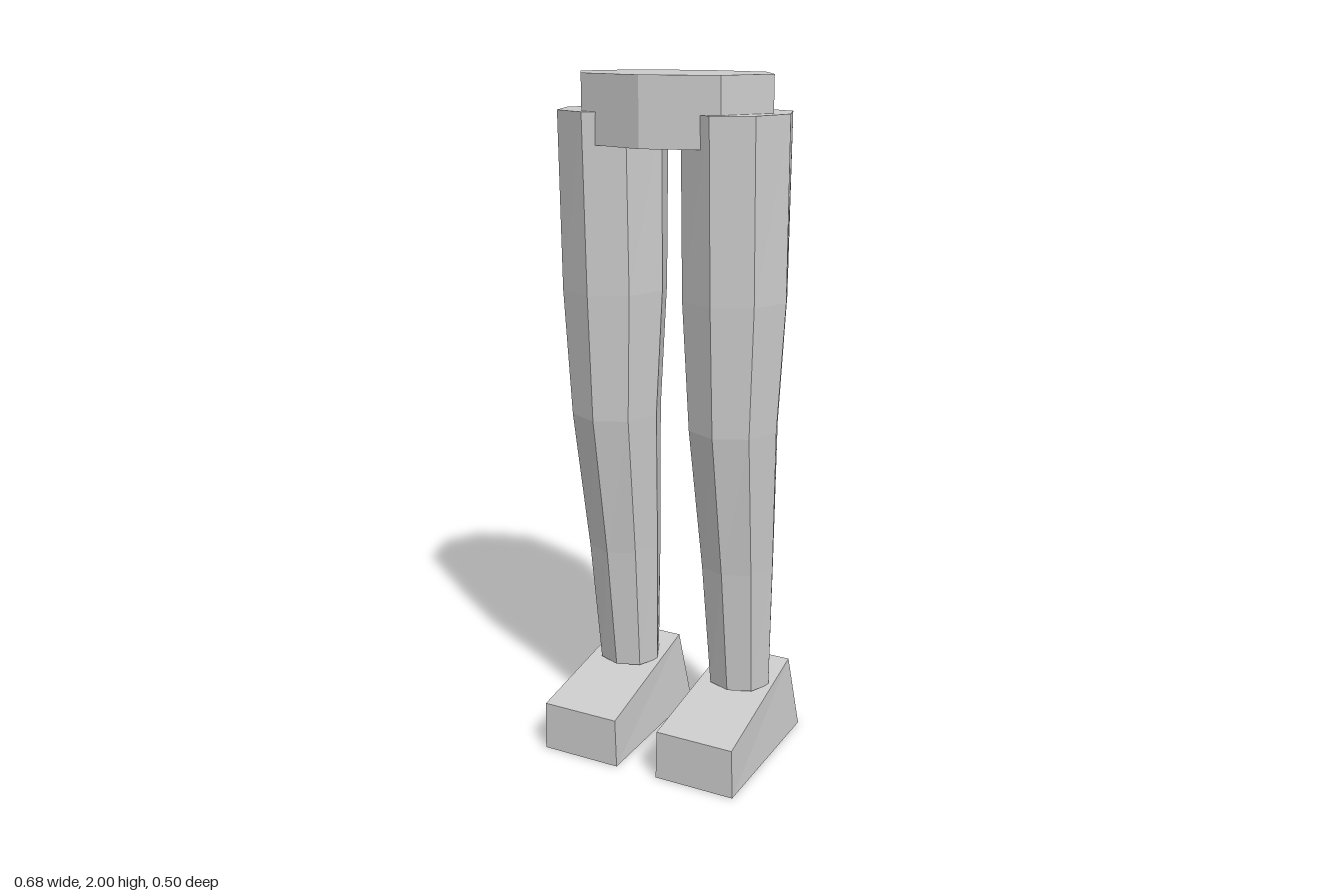
import * as THREE from 'three';

const grey = new THREE.MeshStandardMaterial({ color: 0xcccccc, flatShading: true });
grey.name = 'grey';

// Leg cross-sections from hip to ankle: height, z centre, x radius, z radius
const LEG_RINGS = [
  [1.9, 0, 0.152, 0.175],
  [1.4, 0, 0.152, 0.161],
  [1.03, 0, 0.131, 0.142],
  [0.6, -0.042, 0.111, 0.114],
  [0.21, -0.066, 0.096, 0.09],
];

// Moves every vertex of a geometry by a rule and gives it flat faces
function reshape(geometry, rule) {
  const flat = geometry.toNonIndexed();
  const pos = flat.attributes.position;
  const v = new THREE.Vector3();
  for (let i = 0; i < pos.count; i++) {
    v.fromBufferAttribute(pos, i);
    rule(v);
    pos.setXYZ(i, v.x, v.y, v.z);
  }
  flat.computeVertexNormals();
  return flat;
}

function addPart(parent, name, geometry) {
  const mesh = new THREE.Mesh(geometry, grey);
  mesh.name = name;
  parent.add(mesh);
  return mesh;
}

// Eight-sided leg, bent at the knee and tapering to the ankle
function legGeometry() {
  const steps = LEG_RINGS.length - 1;
  return reshape(new THREE.CylinderGeometry(1, 1, 1, 8, steps), (v) => {
    const [y, z, rx, rz] = LEG_RINGS[Math.round((0.5 - v.y) * steps)];
    v.set(v.x * rx, y, z + v.z * rz);
  });
}

// Wedge foot: low toe, high narrow heel that leans forward
function footGeometry() {
  return reshape(new THREE.BoxGeometry(2, 2, 2), (v) => {
    const top = v.y > 0;
    const toe = v.z > 0;
    const halfWidth = !top ? 0.124 : toe ? 0.12 : 0.106;
    const y = !top ? 0 : toe ? 0.15 : 0.24;
    const z = toe ? 0.248 : top ? -0.198 : -0.248;
    v.set(v.x * halfWidth, y, z);
  });
}

export function createModel() {
  const model = new THREE.Group();
  model.name = 'lowerBody';

  // Flat oval pelvis
  const pelvis = reshape(new THREE.CylinderGeometry(1, 1, 0.188, 8), (v) => {
    v.set(v.x * 0.294, v.y + 1.906, v.z * 0.203);
  });
  addPart(model, 'pelvis', pelvis);

  // Legs and feet on both sides
  const leg = legGeometry();
  const foot = footGeometry();
  for (const [side, x] of [['left', 0.19], ['right', -0.19]]) {
    addPart(model, side + 'Leg', leg).position.x = x;
    addPart(model, side + 'Foot', foot).position.x = x;
  }
  return model;
}
